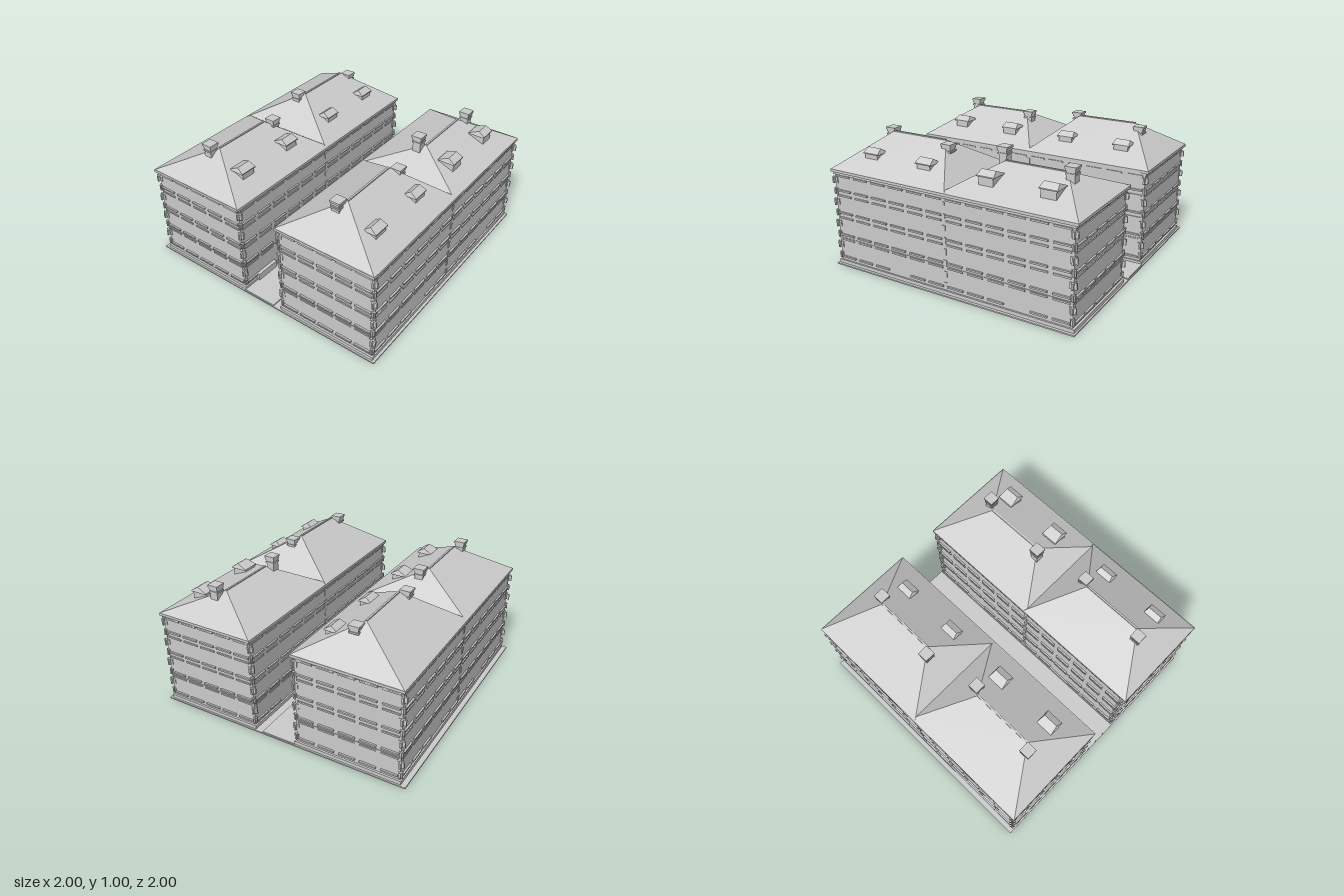
import * as THREE from 'three';

const stone = new THREE.MeshStandardMaterial({ color: 0xcccccc });
stone.name = 'pale grey';
stone.flatShading = true;

// Box given by its extents
function box(parent, name, x0, x1, y0, y1, z0, z1) {
  const m = new THREE.Mesh(new THREE.BoxGeometry(x1 - x0, y1 - y0, z1 - z0), stone);
  m.position.set((x0 + x1) / 2, (y0 + y1) / 2, (z0 + z1) / 2);
  m.name = name;
  parent.add(m);
}

// Hipped roof: rectangular eaves rising to a ridge along x
function hip(parent, name, x0, x1, z0, z1, y0, r0, r1, rz, y1) {
  const a = [x0, y0, z1], b = [x1, y0, z1], c = [x1, y0, z0], d = [x0, y0, z0];
  const l = [r0, y1, rz], r = [r1, y1, rz];
  const tris = [a, b, r, a, r, l, b, c, r, c, d, l, c, l, r, d, a, l, a, d, c, a, c, b];
  const g = new THREE.BufferGeometry();
  g.setAttribute('position', new THREE.Float32BufferAttribute(tris.flat(), 3));
  g.computeVertexNormals();
  const m = new THREE.Mesh(g, stone);
  m.name = name;
  parent.add(m);
}

function chimney(parent, x, z, top) {
  const g = new THREE.Group();
  g.name = 'chimney';
  const tier = (name, h, y0, y1) => box(g, name, x - h, x + h, y0, y1, z - h, z + h);
  tier('chimneyStack', 0.031, 0.79, top - 0.01);
  tier('chimneyCollar', 0.037, top - 0.058, top - 0.046);
  tier('chimneyCap', 0.036, top - 0.034, top - 0.012);
  tier('chimneyTop', 0.041, top - 0.015, top);
  parent.add(g);
}

function dormer(parent, x, zFront, zBack) {
  const g = new THREE.Group();
  g.name = 'dormer';
  box(g, 'dormerBody', x - 0.056, x + 0.056, 0.8, 0.872, zBack, zFront - 0.008);
  box(g, 'dormerEave', x - 0.067, x + 0.067, 0.866, 0.874, zBack, zFront);
  hip(g, 'dormerRoof', x - 0.067, x + 0.067, zBack, zFront, 0.874,
    x - 0.056, x + 0.056, zFront - 0.05, 0.907);
  parent.add(g);
}

// Sills, lintels and string courses of one wall; the wall faces local +z
function facade(parent, name, length, count, doors) {
  const g = new THREE.Group();
  g.name = name;
  const pitch = length / count, w = 0.062;
  const sills = [0.065, 0.245, 0.42, 0.595], lintels = [0.207, 0.38, 0.554, 0.705];
  for (let i = 0; i < count; i++) {
    const x = -length / 2 + (i + 0.5) * pitch;
    sills.forEach((y, f) => {
      if (f === 0 && doors.includes(i)) return;
      box(g, 'windowSill', x - w, x + w, y - 0.006, y + 0.006, -0.004, 0.013);
    });
    lintels.forEach((y) => box(g, 'lintel', x - w, x + w, y - 0.006, y + 0.006, -0.004, 0.008));
  }
  box(g, 'stringCourse', -length / 2, length / 2, 0.205, 0.22, -0.004, 0.004);
  parent.add(g);
  return g;
}

// Toothed corner stones and the joint between the two houses
function quoins(parent, x, z) {
  for (let i = 0; i < 8; i++) {
    const y = 0.055 + i * 0.085, h = i % 2 ? 0.025 : 0.016;
    box(parent, 'quoin', x - h, x + h, y, y + 0.045, z - 0.006, z + 0.006);
    box(parent, 'quoin', x - 0.006, x + 0.006, y, y + 0.045, z - h, z + h);
  }
}

function row(name, s) {
  const g = new THREE.Group();
  g.name = name;
  const { z0, z1, e0, e1, ridge } = s;
  const X = 0.973, zc = (z0 + z1) / 2, depth = z1 - z0;
  box(g, 'walls', -X, X, 0.01, 0.72, z0, z1);
  box(g, 'plinth', -0.988, 0.988, 0.01, 0.036, z0 - 0.012, z1 + 0.012);
  box(g, 'cornice', -0.985, 0.985, 0.715, 0.735, z0 - 0.008, z1 + 0.008);
  box(g, 'eaves', -1, 1, 0.732, 0.752, e0, e1);

  // Window trim on all four sides
  facade(g, 'frontFacade', 2 * X, 12, s.frontDoors).position.z = z1;
  const back = facade(g, 'backFacade', 2 * X, 12, s.backDoors);
  back.position.z = z0;
  back.rotation.y = Math.PI;
  for (const side of [1, -1]) {
    const f = facade(g, side > 0 ? 'leftFacade' : 'rightFacade', depth, 5, []);
    f.position.set(side * X, 0, zc);
    f.rotation.y = side * Math.PI / 2;
    for (const z of [z0, z1]) quoins(g, side * (X - 0.002), z);
  }
  for (const [z, d] of [[z0, -1], [z1, 1]]) {
    for (let y = 0.05; y < 0.68; y += 0.085) {
      const c = z + d * 0.001;
      box(g, 'jointStone', -0.012, 0.012, y, y + 0.045, c - 0.003, c + 0.003);
    }
  }

  // Two hipped roofs meeting in a valley, with ridge caps
  [-1, 1].forEach((k, i) => {
    const x0 = k < 0 ? -1 : -0.02, x1 = k < 0 ? 0.02 : 1, top = s.tops[i];
    const r0 = k < 0 ? -0.72 : 0.25, r1 = k < 0 ? -0.25 : 0.72;
    hip(g, 'roof', x0, x1, e0, e1, 0.75, r0, r1, ridge, top);
    box(g, 'ridgeCap', r0, r1, top - 0.012, top + 0.004, ridge - 0.007, ridge + 0.007);
    const low = s.dormerDepth[i];
    for (const x of k < 0 ? [-0.725, -0.255] : [0.255, 0.72])
      dormer(g, x, s.dormerZ, s.dormerZ - low);
    chimney(g, k < 0 ? -0.765 : 0.215, ridge - 0.043, 1.0);
    chimney(g, k < 0 ? -0.195 : 0.775, ridge + 0.043, 0.975);
  });
  return g;
}

export function createModel() {
  const model = new THREE.Group();
  model.name = 'apartmentBlocks';

  // Ground slab and raised courtyard paving
  box(model, 'groundSlab', -1, 1, 0, 0.01, -1, 1);
  box(model, 'courtyardPaving', -0.995, 0.995, 0.01, 0.018, -0.14, 0.13);

  model.add(row('frontRow', {
    z0: 0.205, z1: 0.968, e0: 0.188, e1: 0.983, ridge: 0.582, tops: [0.983, 0.912],
    dormerZ: 0.85, dormerDepth: [0.1, 0.13], frontDoors: [3, 9], backDoors: [2, 8],
  }));
  model.add(row('backRow', {
    z0: -0.95, z1: -0.152, e0: -0.968, e1: -0.135, ridge: -0.55, tops: [0.955, 0.983],
    dormerZ: -0.27, dormerDepth: [0.12, 0.1], frontDoors: [1, 9], backDoors: [3, 8],
  }));

  // Entrance steps and cheek walls on the courtyard side
  for (const [a, b, c, d] of [[-0.86, -0.66, -0.59, -0.48], [0.37, 0.57, 0.64, 0.74]]) {
    box(model, 'entranceStep', a, b, 0.01, 0.07, -0.155, -0.125);
    box(model, 'entranceBlock', c, d, 0.01, 0.07, -0.155, -0.125);
    box(model, 'entranceBlockTop', c, d, 0.07, 0.12, -0.155, -0.138);
  }
  return model;
}
